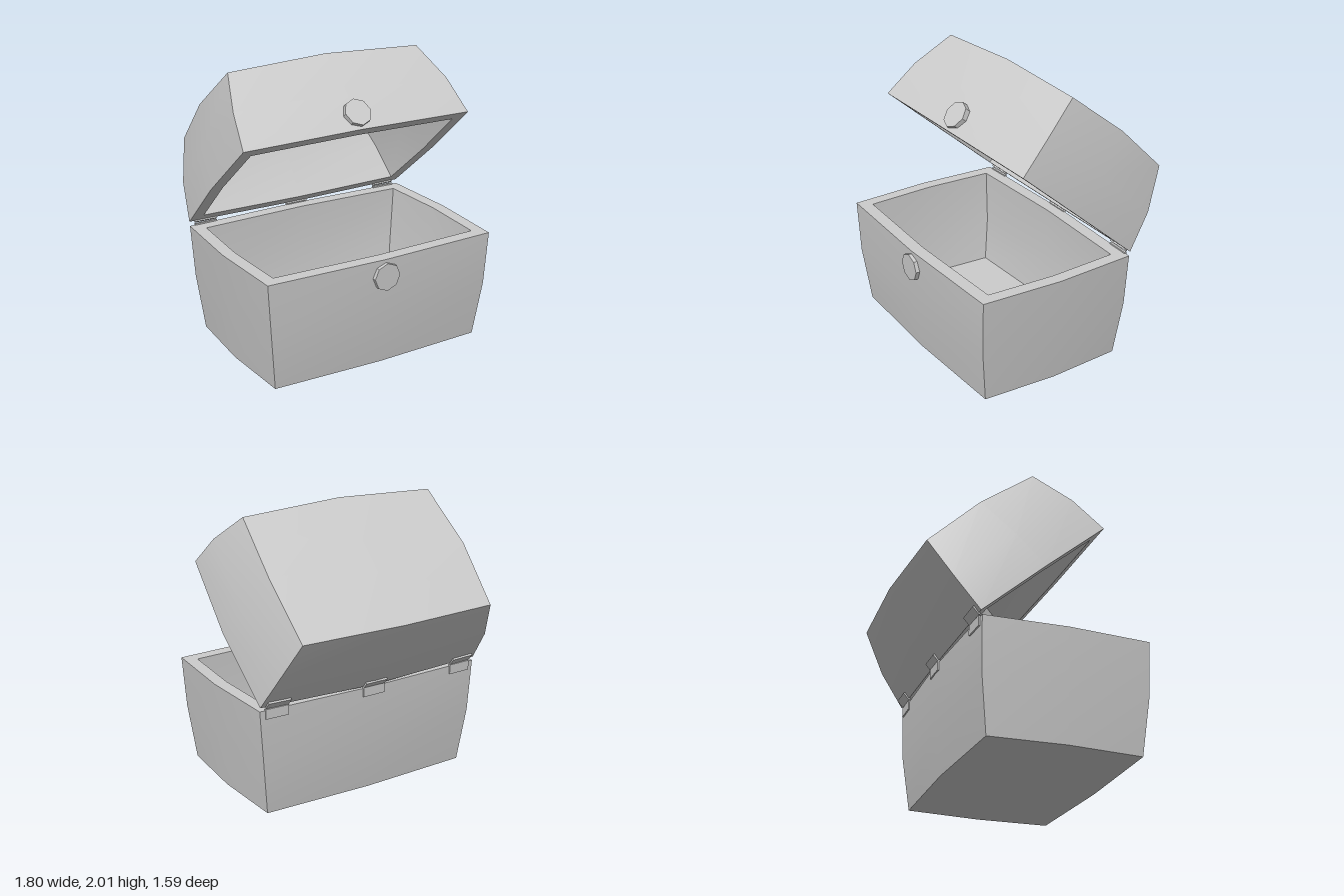
import * as THREE from 'three';
import { toCreasedNormals } from 'three/addons/utils/BufferGeometryUtils.js';

const material = new THREE.MeshStandardMaterial({ color: 0xcccccc });
const flatMaterial = new THREE.MeshStandardMaterial({ color: 0xcccccc, flatShading: true });

// Eight-point bowed rectangle: corners (xc, zc) and side middles (xm, zm)
function ring([xc, xm, zc, zm, yc, ym = yc]) {
  return [
    [xm, ym, 0], [xc, yc, zc], [0, ym, zm], [-xc, yc, zc],
    [-xm, ym, 0], [-xc, yc, -zc], [0, ym, -zm], [xc, yc, -zc],
  ];
}

// Hollow box lofted from the outer bottom, over the rim, to the inner floor
function shell(name, levels, bottomY, floorY) {
  const n = 8;
  const points = levels.flatMap(ring);
  const index = [];
  for (let i = 0; i < levels.length - 1; i++) {
    for (let j = 0; j < n; j++) {
      const a = i * n + j, b = i * n + (j + 1) % n;
      index.push(a, a + n, b, b, a + n, b + n);
    }
  }
  const bottom = points.length, floor = bottom + 1;
  points.push([0, bottomY, 0], [0, floorY, 0]);
  const last = (levels.length - 1) * n;
  for (let j = 0; j < n; j++) {
    const k = (j + 1) % n;
    index.push(bottom, j, k, floor, last + k, last + j);
  }
  const geometry = new THREE.BufferGeometry();
  geometry.setAttribute('position', new THREE.Float32BufferAttribute(points.flat(), 3));
  geometry.setIndex(index);
  const mesh = new THREE.Mesh(toCreasedNormals(geometry, 0.6), material);
  mesh.name = name;
  return mesh;
}

// Octagonal clasp disc on the front wall
function clasp(name, y) {
  const geometry = new THREE.CylinderGeometry(0.098, 0.098, 0.06, 8).rotateX(Math.PI / 2);
  const mesh = new THREE.Mesh(geometry, flatMaterial);
  mesh.name = name;
  mesh.position.set(0, y, 0.605);
  return mesh;
}

// Three hinge leaves along the back wall
function hingeLeaves(name, y, height) {
  const group = new THREE.Group();
  group.name = name;
  for (const x of [-0.745, 0, 0.745]) {
    const leaf = new THREE.Mesh(new THREE.BoxGeometry(0.17, height, 0.018), material);
    leaf.name = 'hingeLeaf';
    leaf.position.set(x, y, -0.61 + Math.abs(x) * 0.031);
    leaf.rotation.y = -Math.sign(x) * 0.031;
    group.add(leaf);
  }
  return group;
}

export function createModel() {
  const model = new THREE.Group();
  model.name = 'openChest';

  // Base, widening towards the rim
  const base = new THREE.Group();
  base.name = 'base';
  base.position.z = 0.163;
  base.add(shell('baseShell', [
    [0.80, 0.83, 0.53, 0.556, 0],
    [0.845, 0.87, 0.575, 0.602, 0.4],
    [0.87, 0.90, 0.583, 0.612, 0.78],
    [0.785, 0.81, 0.493, 0.52, 0.78],
    [0.76, 0.785, 0.485, 0.51, 0.4],
    [0.71, 0.735, 0.432, 0.457, 0.09],
  ], 0, 0.09));
  base.add(clasp('baseClasp', 0.66));
  base.add(hingeLeaves('lowerHinges', 0.755, 0.07));

  // Lid, made as an upside-down shell and tipped back
  const lid = new THREE.Group();
  lid.name = 'lid';
  lid.position.set(0, 1.194, 0.011);
  lid.rotation.x = -0.72;
  const lidShell = shell('lidShell', [
    [0.74, 0.77, 0.495, 0.52, -0.598, -0.623],
    [0.83, 0.86, 0.558, 0.587, -0.29],
    [0.87, 0.90, 0.583, 0.612, 0],
    [0.785, 0.81, 0.498, 0.523, 0],
    [0.735, 0.765, 0.47, 0.495, -0.27],
    [0.645, 0.67, 0.41, 0.435, -0.505],
  ], -0.64, -0.51);
  lidShell.rotation.z = Math.PI;
  lid.add(lidShell);
  lid.add(clasp('lidClasp', 0.118));
  lid.add(hingeLeaves('upperHinges', 0.022, 0.065));

  model.add(base, lid);
  return model;
}
